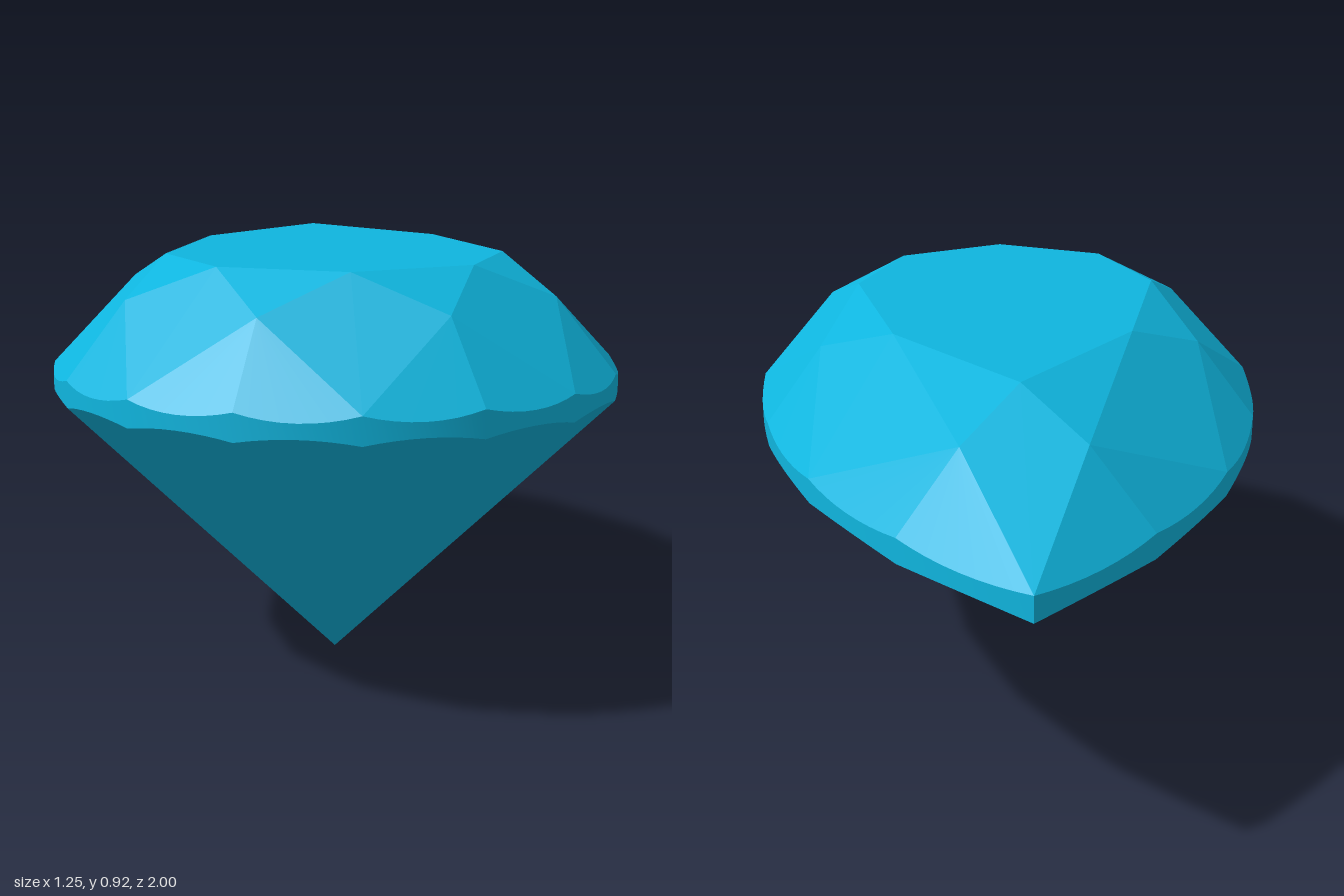
import * as THREE from 'three';
import { toCreasedNormals } from 'three/addons/utils/BufferGeometryUtils.js';

const C = 1 / 3;                      // z of the culet and of the widest point
const HALF_W = 0.625, FRONT = 1 - C, BACK = 1 + C;
const R = (HALF_W * HALF_W + BACK * BACK) / (2 * HALF_W); // radius of the rear side arcs
const TABLE_Y = 0.917, TOP_Y = 0.68, BOTTOM_Y = 0.622, TABLE_SCALE = 0.6;
const STEPS = 8;                      // points along each girdle scallop

// Pear outline; u runs 0..16 round the stone from the front through +x
function outline(u) {
  u = ((u % 16) + 16) % 16;
  if (u > 8) {
    const p = outline(16 - u);
    return new THREE.Vector2(-p.x, p.y);
  }
  if (u <= 4) {
    const a = u * Math.PI / 8;
    return new THREE.Vector2(HALF_W * Math.sin(a), C + FRONT * Math.cos(a));
  }
  const a = (u - 4) / 4 * Math.asin(BACK / R);
  return new THREE.Vector2(R * Math.cos(a) - R + HALF_W, C - R * Math.sin(a));
}

// Outline point scaled about the culet axis, at height y
function ring(u, s, y) {
  const p = outline(u);
  return new THREE.Vector3(p.x * s, y, C + (p.y - C) * s);
}

// Star point: where the planes of two neighbouring kite facets meet
function starPoint(u) {
  const f = 0.675, s = 1 - (1 - TABLE_SCALE) * f;
  const y = TOP_Y + (TABLE_Y - TOP_Y) * f;
  const a = ring(u - 1, s, y), b = ring(u + 1, s, y);
  const da = outline(u - 0.99).sub(outline(u - 1.01));
  const db = outline(u + 1.01).sub(outline(u + 0.99));
  const k = ((b.x - a.x) * db.y - (b.z - a.z) * db.x) / (da.x * db.y - da.y * db.x);
  return new THREE.Vector3(a.x + da.x * k, y, a.z + da.y * k);
}

// Scalloped edge: the plane of a facet carried out to the curved outline
function scallop(apex, u, y) {
  const plane = new THREE.Plane().setFromCoplanarPoints(apex, ring(u, 1, y), ring(u + 1, 1, y));
  const n = plane.normal, points = [];
  for (let i = 0; i <= STEPS; i++) {
    const p = ring(u + i / STEPS, 1, y);
    p.y = -(plane.constant + n.x * p.x + n.z * p.z) / n.y;
    points.push(p);
  }
  return points;
}

// Adds a flat polygon as a triangle fan
function facet(list, ...pts) {
  for (let i = 1; i < pts.length - 1; i++) list.push(pts[0], pts[i], pts[i + 1]);
}

export function createModel() {
  const group = new THREE.Group();
  group.name = 'pearCutGem';
  const flat = new THREE.MeshStandardMaterial({ color: 0x0fb5de, flatShading: true });
  const smooth = new THREE.MeshStandardMaterial({ color: 0x0fb5de });

  function add(name, points, creased = false) {
    let geo = new THREE.BufferGeometry().setFromPoints(points);
    geo.computeVertexNormals();
    if (creased) geo = toCreasedNormals(geo, 0.5);
    const mesh = new THREE.Mesh(geo, creased ? smooth : flat);
    mesh.name = name;
    group.add(mesh);
  }

  const table = [], stars = [], kites = [], upper = [], girdle = [], pavilion = [];
  const tablePoint = u => ring(u, TABLE_SCALE, TABLE_Y);
  const culet = new THREE.Vector3(0, 0, C);

  // Flat table, star facets and kite facets
  facet(table, ...Array.from({ length: 8 }, (_, i) => tablePoint(i * 2)));
  for (let u = 0; u < 16; u += 2) {
    facet(stars, tablePoint(u), starPoint(u + 1), tablePoint(u + 2));
    facet(kites, tablePoint(u), starPoint(u - 1), ring(u, 1, TOP_Y), starPoint(u + 1));
  }

  // Upper girdle facets, girdle band and pavilion, one scallop at a time
  for (let u = 0; u < 16; u++) {
    const star = starPoint(u % 2 ? u : u + 1);
    const top = scallop(star, u, TOP_Y), bottom = scallop(culet, u, BOTTOM_Y);
    facet(upper, star, ...top);
    facet(pavilion, culet, ...bottom.slice().reverse());
    for (let i = 0; i < STEPS; i++) {
      facet(girdle, top[i], bottom[i], bottom[i + 1], top[i + 1]);
    }
  }

  add('table', table);
  add('starFacets', stars);
  add('kiteFacets', kites);
  add('upperGirdleFacets', upper);
  add('girdle', girdle, true);
  add('pavilion', pavilion);
  return group;
}
